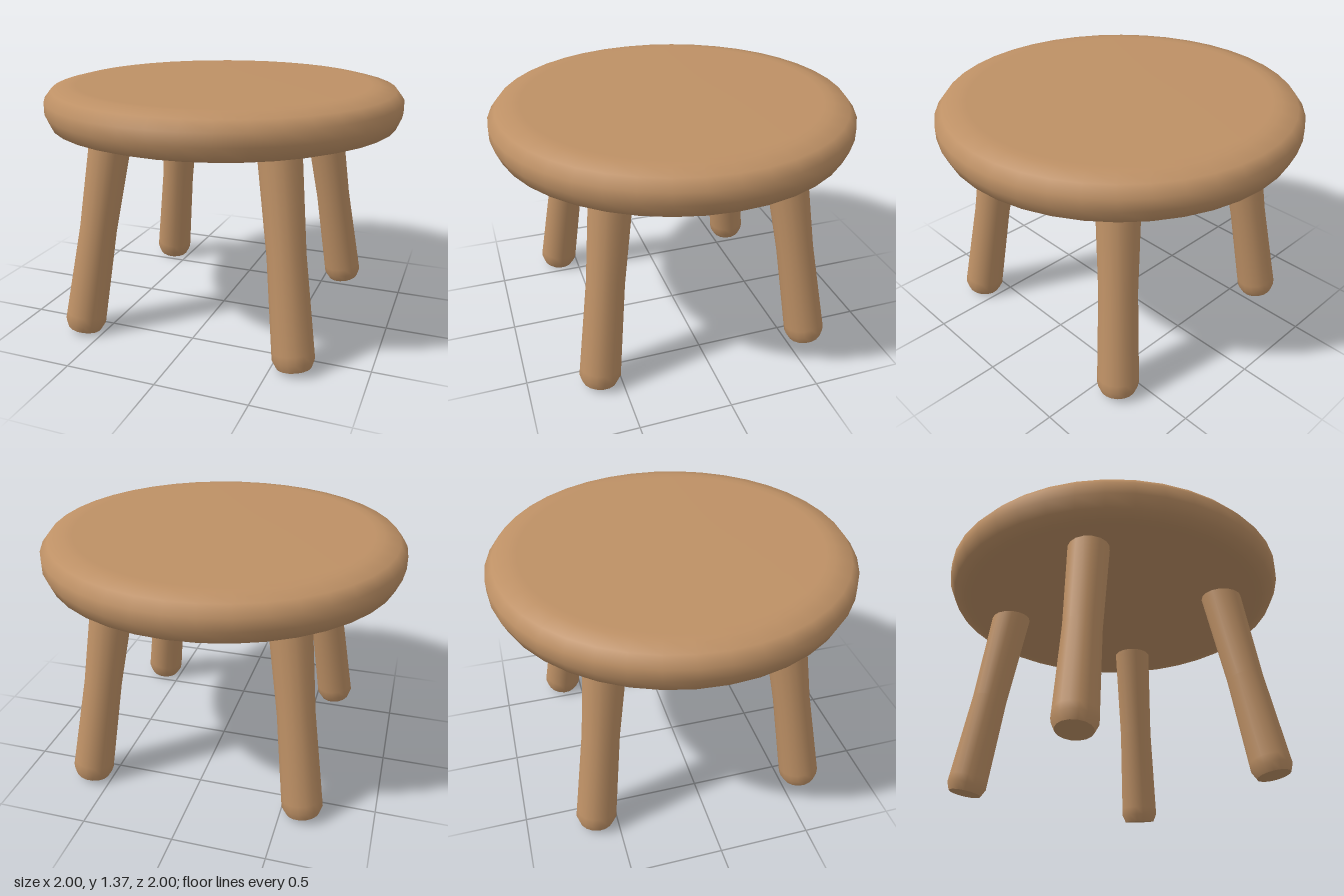
import * as THREE from 'three';

const profile = (pts) => pts.map(([r, y]) => new THREE.Vector2(r, y));

export function createModel() {
  const stool = new THREE.Group();
  stool.name = 'stool';
  const wood = new THREE.MeshStandardMaterial({ color: 0xbd9065 });
  wood.name = 'warm wood';

  // Round seat with a soft rim
  const seat = new THREE.Mesh(new THREE.LatheGeometry(profile([
    [0, 1.14], [0.86, 1.14], [0.9, 1.14], [0.968, 1.163], [0.998, 1.232],
    [0.998, 1.3], [0.957, 1.352], [0.87, 1.374], [0.82, 1.375], [0, 1.375],
  ]), 40), wood);
  seat.name = 'seat';
  stool.add(seat);

  // Slightly waisted leg with a bevelled foot, built along +y
  const legGeometry = new THREE.LatheGeometry(profile([
    [0.093, 0], [0.113, 0.045], [0.112, 0.09], [0.102, 0.59], [0.115, 1.14], [0.116, 1.2],
  ]), 16);
  const footGeometry = new THREE.CircleGeometry(0.093, 16).rotateX(Math.PI / 2);
  const up = new THREE.Vector3(0, 1, 0);

  // Four legs splayed towards the corners
  for (const [front, sz] of [['front', 1], ['back', -1]]) {
    for (const [side, sx] of [['Left', 1], ['Right', -1]]) {
      const leg = new THREE.Group();
      leg.name = front + side + 'Leg';
      const shaft = new THREE.Mesh(legGeometry, wood);
      shaft.name = 'shaft';
      const foot = new THREE.Mesh(footGeometry, wood);
      foot.name = 'footEnd';
      leg.add(shaft, foot);
      leg.position.set(sx * 0.619, 0.018, sz * 0.619);
      const axis = new THREE.Vector3(-sx * 0.133, 1, -sz * 0.133).normalize();
      leg.quaternion.setFromUnitVectors(up, axis);
      stool.add(leg);
    }
  }
  return stool;
}
